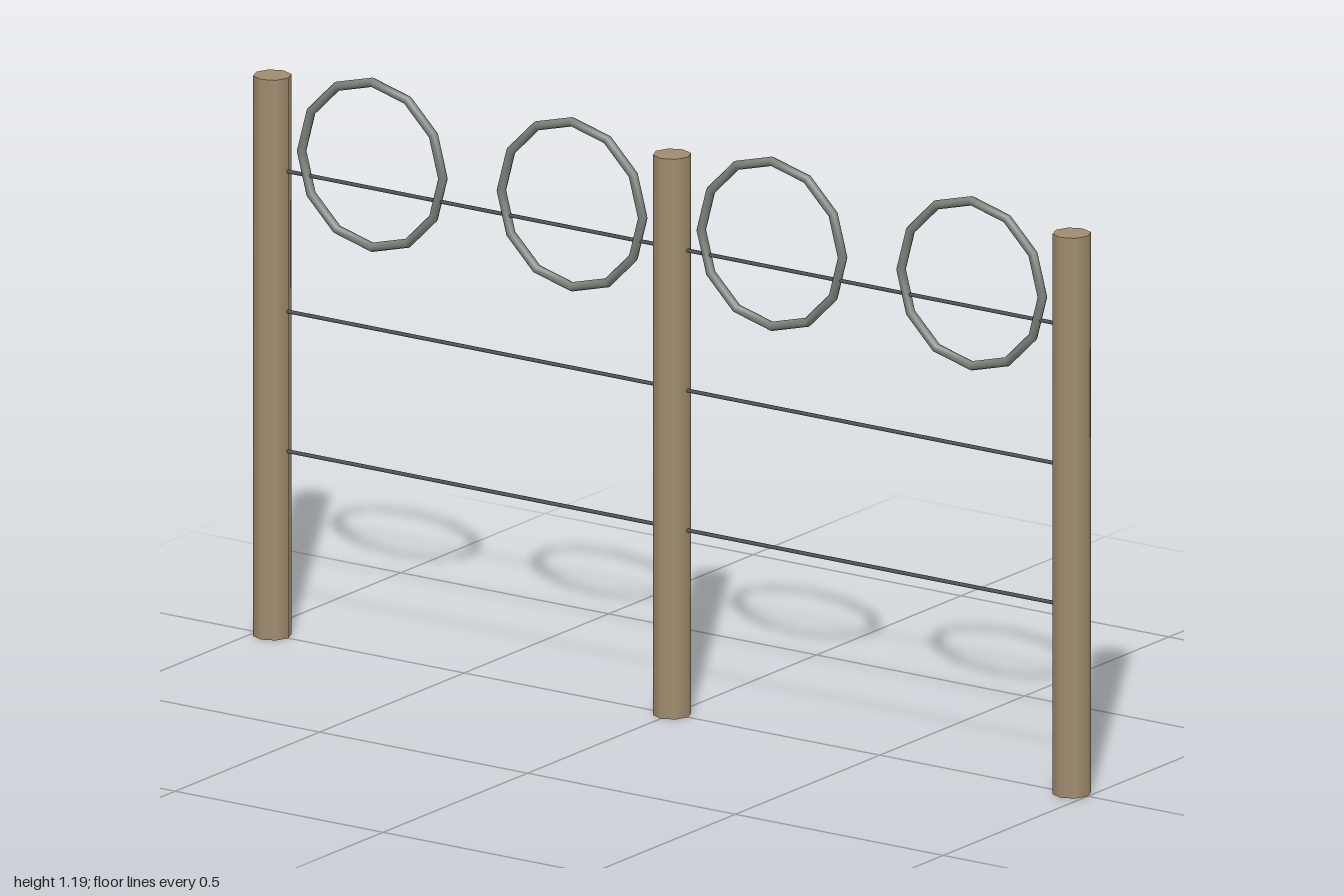
import * as THREE from 'three';

export function createModel() {
  const model = new THREE.Group();
  model.name = 'wireFence';

  const wood = new THREE.MeshStandardMaterial({ color: 0xa08c6e });
  const steel = new THREE.MeshStandardMaterial({ color: 0x7c817c });
  const wire = new THREE.MeshStandardMaterial({ color: 0x55585a });

  const postX = 0.9615, postRadius = 0.0385, postHeight = 1.154;

  const add = (name, geometry, material, x, y) => {
    const mesh = new THREE.Mesh(geometry, material);
    mesh.name = name;
    mesh.position.set(x, y, 0);
    model.add(mesh);
    return mesh;
  };

  // Three round wooden posts
  const postGeometry = new THREE.CylinderGeometry(postRadius, postRadius, postHeight, 8);
  for (const x of [-postX, 0, postX]) add('post', postGeometry, wood, x, postHeight / 2);

  // Three horizontal wires strung through the posts
  const wireGeometry = new THREE.CylinderGeometry(0.004, 0.004, 2 * postX, 6).rotateZ(Math.PI / 2);
  for (const y of [0.385, 0.673, 0.9615]) add('wire', wireGeometry, wire, 0, y);

  // Four hoops along the top wire, two per bay
  const hoopGeometry = new THREE.TorusGeometry(0.17, 0.0096, 8, 12);
  for (const x of [-0.721, -0.2404, 0.2404, 0.721]) add('hoop', hoopGeometry, steel, x, 1.0096);

  return model;
}
